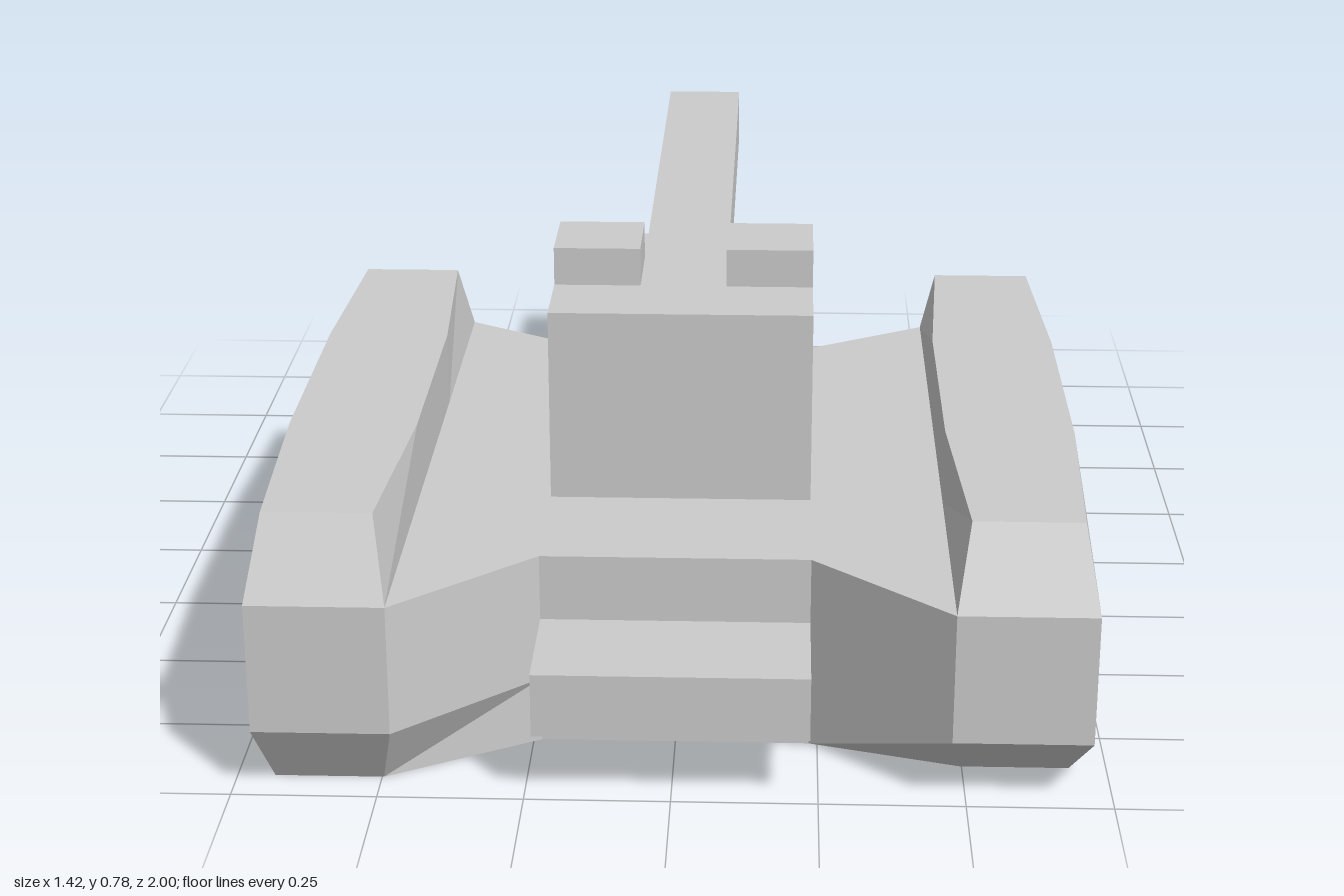
import * as THREE from 'three';

const material = new THREE.MeshStandardMaterial({ color: 0xcccccc, flatShading: true });

// Closed solid through plan outlines [x, z] stacked at rising heights.
// Outlines run counter-clockwise seen from above, all with the same point count.
function stack(layers) {
  const rings = layers.map(([y, pts]) => pts.map(([x, z]) => new THREE.Vector3(x, y, z)));
  const out = [];
  const tri = (a, b, c) => {
    if (new THREE.Triangle(a, b, c).getArea() > 1e-7) for (const p of [a, b, c]) out.push(p.x, p.y, p.z);
  };
  const n = rings[0].length;
  for (let r = 0; r < rings.length - 1; r++) {
    for (let i = 0; i < n; i++) {
      const j = (i + 1) % n, lo = rings[r], hi = rings[r + 1];
      tri(lo[i], lo[j], hi[j]);
      tri(lo[i], hi[j], hi[i]);
    }
  }
  const cap = (ring, up) => {
    const flat = ring.map(p => new THREE.Vector2(p.x, -p.z));
    for (const [a, b, c] of THREE.ShapeUtils.triangulateShape(flat, [])) {
      if (up) tri(ring[a], ring[b], ring[c]);
      else tri(ring[a], ring[c], ring[b]);
    }
  };
  cap(rings[0], false);
  cap(rings[rings.length - 1], true);
  const geometry = new THREE.BufferGeometry();
  geometry.setAttribute('position', new THREE.Float32BufferAttribute(out, 3));
  geometry.computeVertexNormals();
  return geometry;
}

// Box given by its limits on each axis
function block(x0, x1, y0, y1, z0, z1) {
  return new THREE.BoxGeometry(x1 - x0, y1 - y0, z1 - z0)
    .translate((x0 + x1) / 2, (y0 + y1) / 2, (z0 + z1) / 2);
}

export function createModel() {
  const model = new THREE.Group();
  model.name = 'tank';
  const add = (name, geometry) => {
    const mesh = new THREE.Mesh(geometry, material);
    mesh.name = name;
    model.add(mesh);
  };

  // The underside of the left track is cut back further than the right
  const floorEnds = { 1: [0.86, -0.27], '-1': [0.93, -0.34] };

  // Tracks: chamfered blocks pinched at their four top and bottom ends
  const trackRing = (side, [front, back], inner, outer, mid) => {
    const pts = [
      [inner, front], [outer, front], [mid, 0.53], [mid, 0.06],
      [outer, back], [inner, back], [0.473, 0.06], [0.473, 0.53],
    ].map(([x, z]) => [side * x, z]);
    return side > 0 ? pts : pts.reverse();
  };
  for (const side of [1, -1]) {
    const full = trackRing(side, [1, -0.41], 0.473, 0.71, 0.71);
    add(side > 0 ? 'leftTrack' : 'rightTrack', stack([
      [0, trackRing(side, floorEnds[side], 0.497, 0.685, 0.703)],
      [0.12, full],
      [0.355, full],
      [0.495, trackRing(side, [0.93, -0.34], 0.497, 0.685, 0.703)],
    ]));
  }

  // Hull: flat deck with wings flaring out to the track ends
  const hullRing = (x, [lf, lb], [rf, rb]) => [
    [-x, rf], [-0.235, 0.785], [0.235, 0.785], [x, lf],
    [x, lb], [0.235, -0.27], [-0.235, -0.27], [-x, rb],
  ];
  const wide = hullRing(0.473, [1, -0.41], [1, -0.41]);
  add('hull', stack([
    [0, hullRing(0.497, floorEnds[1], floorEnds[-1])],
    [0.12, wide],
    [0.355, wide],
  ]));
  add('frontStep', block(-0.235, 0.235, 0.12, 0.235, 0.78, 1));

  // Turret: block with its two upper corners on the gun side cut off
  const turretRing = (cornerX, cornerZ) => [
    [-0.235, 0.525], [0.235, 0.525], [0.235, cornerZ],
    [cornerX, 0.06], [-cornerX, 0.06], [-0.235, cornerZ],
  ];
  add('turret', stack([
    [0.355, turretRing(0.235, 0.06)],
    [0.585, turretRing(0.235, 0.06)],
    [0.708, turretRing(0.19, 0.21)],
  ]));
  add('gunBarrel', block(-0.078, 0.078, 0.59, 0.708, -1, 0.06));

  // Hatches on the turret roof
  add('leftHatch', block(0.078, 0.235, 0.708, 0.778, 0.21, 0.37));
  add('rightHatch', block(-0.235, -0.078, 0.708, 0.778, 0.21, 0.37));

  return model;
}
